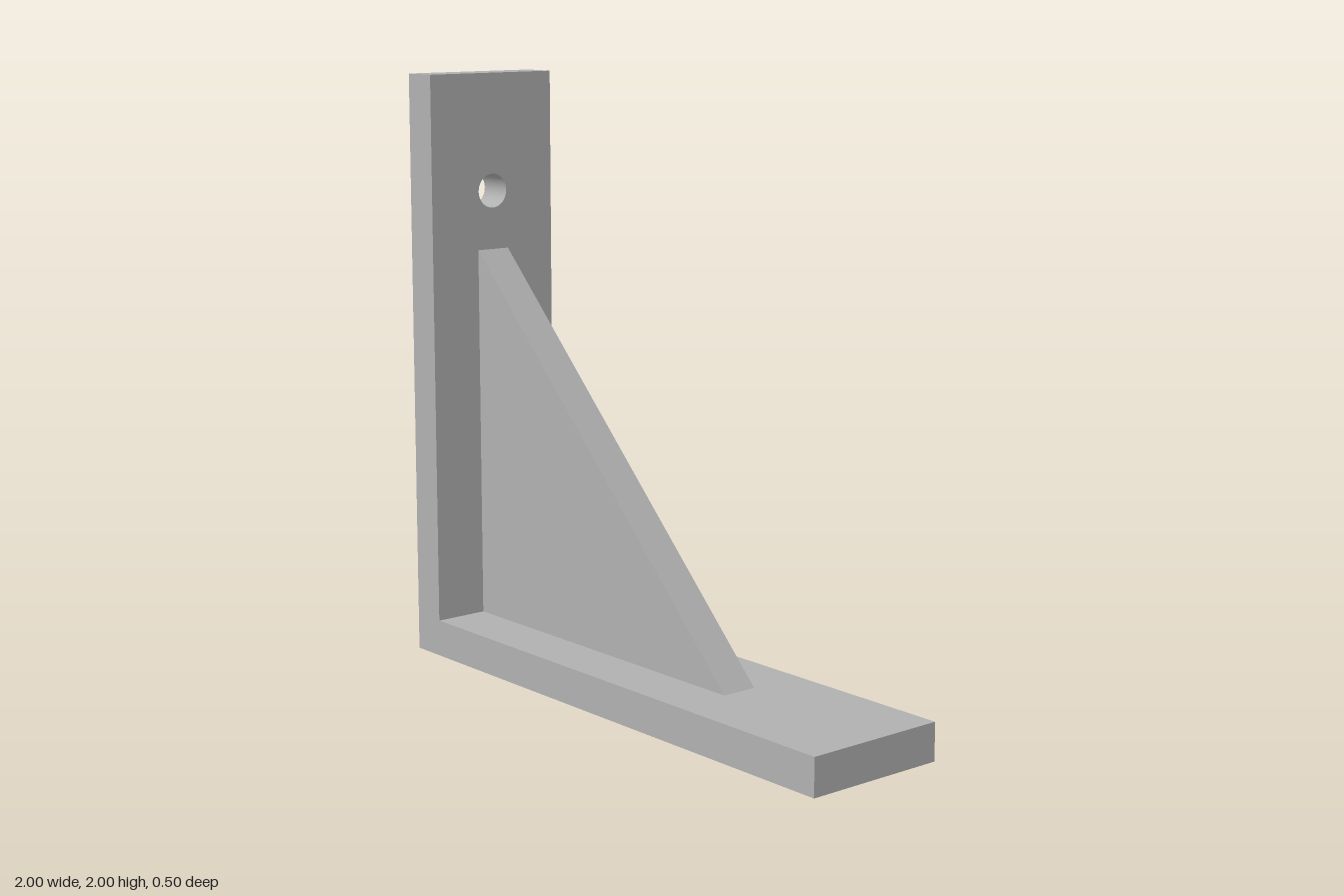
import * as THREE from 'three';

export function createModel() {
  const group = new THREE.Group();
  group.name = 'shelfBracket';
  const grey = new THREE.MeshStandardMaterial({ color: 0xb0b0b0 });
  grey.name = 'grey';

  const WIDTH = 0.5, THICK = 0.125, HOLE_RADIUS = 0.058;
  const add = (name, geometry) => {
    const mesh = new THREE.Mesh(geometry, grey);
    mesh.name = name;
    group.add(mesh);
  };

  // upright plate with two screw holes; the lower one ends at the rib
  const plate = new THREE.Shape();
  plate.moveTo(-WIDTH / 2, 0);
  plate.lineTo(WIDTH / 2, 0);
  plate.lineTo(WIDTH / 2, 2);
  plate.lineTo(-WIDTH / 2, 2);
  plate.closePath();
  for (const y of [0.8, 1.6]) {
    plate.holes.push(new THREE.Path().absarc(0, y, HOLE_RADIUS, 0, Math.PI * 2, true));
  }
  add('uprightPlate', new THREE.ExtrudeGeometry(plate, { depth: THICK, bevelEnabled: false, curveSegments: 48 })
    .rotateY(Math.PI / 2).translate(-1, 0, 0));

  // horizontal arm
  add('baseArm', new THREE.BoxGeometry(2 - THICK, THICK, WIDTH).translate(THICK / 2, THICK / 2, 0));

  // triangular stiffening rib
  const rib = new THREE.Shape();
  rib.moveTo(-1 + THICK, THICK);
  rib.lineTo(0.4, THICK);
  rib.lineTo(-1 + THICK, 1.4);
  rib.closePath();
  add('stiffeningRib', new THREE.ExtrudeGeometry(rib, { depth: THICK, bevelEnabled: false })
    .translate(0, 0, -THICK / 2));

  return group;
}
